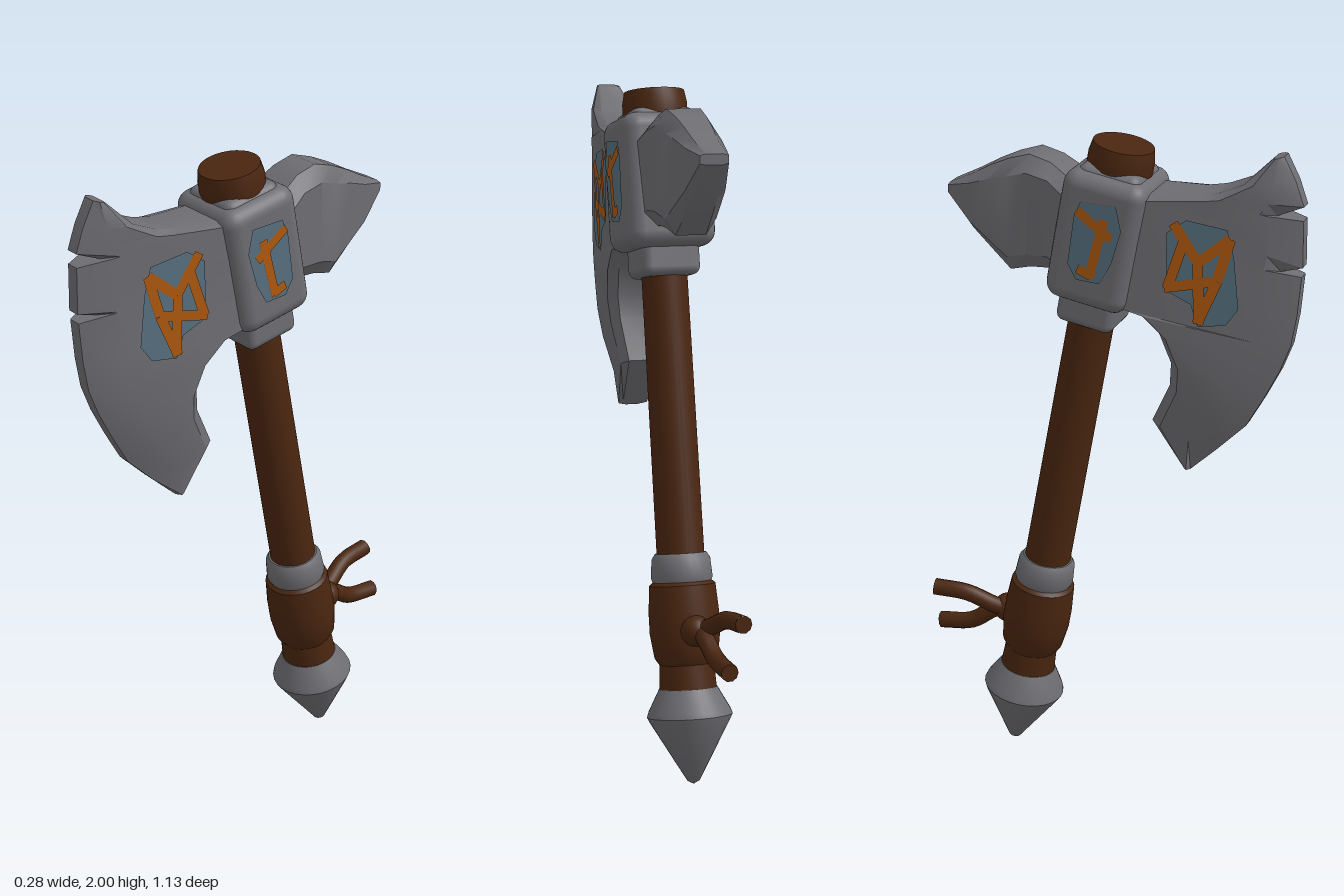
import * as THREE from 'three';
import { toCreasedNormals } from 'three/addons/utils/BufferGeometryUtils.js';
import { RoundedBoxGeometry } from 'three/addons/geometries/RoundedBoxGeometry.js';

const mat = (name, color, side = THREE.FrontSide) => {
  const m = new THREE.MeshStandardMaterial({ color, side });
  m.name = name;
  return m;
};

// Closed loft through rings of equal length, capped with fans.
function loft(rings, crease) {
  const n = rings[0].length, pos = rings.flat(2), idx = [];
  for (let i = 0; i < rings.length - 1; i++)
    for (let j = 0; j < n; j++) {
      const a = i * n + j, b = i * n + (j + 1) % n;
      idx.push(a, b, b + n, a, b + n, a + n);
    }
  const last = (rings.length - 1) * n;
  for (let j = 1; j < n - 1; j++) {
    idx.push(0, j + 1, j);
    idx.push(last, last + j, last + j + 1);
  }
  // turn the faces outwards if the enclosed volume is negative
  const v = (i) => new THREE.Vector3().fromArray(pos, i * 3);
  let volume = 0;
  for (let i = 0; i < idx.length; i += 3)
    volume += v(idx[i]).dot(v(idx[i + 1]).cross(v(idx[i + 2])));
  if (volume < 0) idx.reverse();
  const g = new THREE.BufferGeometry();
  g.setAttribute('position', new THREE.Float32BufferAttribute(pos, 3));
  g.setIndex(idx);
  return toCreasedNormals(g, crease);
}

// Half thickness of the blade cheek at depth z.
const cheek = (z) => 0.105 - 0.12 * (Math.max(z, 0.1) - 0.1);

function bladeGeometry() {
  // cutting edge z, y; back z, y; bevel width
  const stations = [
    [0.505, 1.997, 0.475, 1.99, 0.1], [0.54, 1.93, 0.4, 1.915, 0.1],
    [0.565, 1.86, 0.33, 1.885, 0.1], [0.49, 1.828, 0.31, 1.88, 0.04],
    [0.565, 1.82, 0.26, 1.87, 0.1], [0.567, 1.685, 0.1, 1.865, 0.1],
    [0.505, 1.668, 0.09, 1.8, 0.04], [0.565, 1.658, 0.08, 1.75, 0.1],
    [0.555, 1.54, 0.04, 1.53, 0.1], [0.54, 1.45, 0.1, 1.52, 0.1],
    [0.51, 1.37, 0.165, 1.46, 0.1], [0.465, 1.28, 0.2, 1.37, 0.1],
    [0.415, 1.19, 0.195, 1.3, 0.1], [0.33, 1.105, 0.14, 1.18, 0.1],
    [0.25, 1.03, 0.235, 1.045, 0.1],
  ];
  const thick = (p) => Math.max(0.025, Math.min(
    p.x < 0.46 ? cheek(p.x) : 0.062 - 0.32 * (p.x - 0.46),
    0.03 + (2 - p.y) * 0.6, 0.065 + (p.y - 1.2) * 0.12));
  return loft(stations.map(([fz, fy, bz, by, bevel]) => {
    const F = new THREE.Vector2(fz, fy), B = new THREE.Vector2(bz, by);
    const len = F.distanceTo(B);
    const M = F.clone().lerp(B, Math.min(bevel / len, 0.4));
    const I = B.clone().lerp(F, Math.min(0.03 / len, 0.25));
    const half = [[F, 0.02], [M, thick(M)], [I, thick(I)], [B, thick(B) * 0.7]];
    return [
      ...half.map(([p, t]) => [t, p.y, p.x]),
      ...half.reverse().map(([p, t]) => [-t, p.y, p.x]),
    ];
  }), 0.5);
}

function spikeGeometry() {
  // z, top, bottom, half width
  const sections = [
    [-0.04, 1.9, 1.55, 0.1], [-0.115, 1.89, 1.57, 0.1], [-0.165, 1.922, 1.61, 0.087],
    [-0.23, 1.94, 1.607, 0.085], [-0.295, 1.92, 1.59, 0.076], [-0.355, 1.893, 1.645, 0.068],
    [-0.415, 1.86, 1.7, 0.059], [-0.488, 1.825, 1.795, 0.042],
  ];
  const octagon = [[1, 0.72], [0.6, 1], [-0.6, 1], [-1, 0.72], [-1, -0.72], [-0.6, -1], [0.6, -1], [1, -0.72]];
  return loft(sections.map(([z, t, b, w]) =>
    octagon.map(([x, y]) => [x * w, (t + b) / 2 + y * (t - b) / 2, z])), 0.6);
}

// Flat painted shape in the side plane, laid over a surface x = surf(z).
function paint(points, surf, lift, side) {
  const g = new THREE.ShapeGeometry(new THREE.Shape(points.map(([z, y]) => new THREE.Vector2(z, y))));
  const p = g.attributes.position;
  for (let i = 0; i < p.count; i++) {
    const z = p.getX(i), y = p.getY(i);
    p.setXYZ(i, side * (surf(z) + lift), y, z);
  }
  // front faces point outwards on both sides
  if (side > 0) g.setIndex([...g.index.array].reverse());
  g.computeVertexNormals();
  return g;
}

// Quad outline of a brush stroke between two points.
function stroke([az, ay, bz, by], w) {
  const l = Math.hypot(bz - az, by - ay), dz = (bz - az) / l * w, dy = (by - ay) / l * w;
  return [[az - dy, ay + dz], [az + dy, ay - dz], [bz + dy, by - dz], [bz - dy, by + dz]];
}

export function createModel() {
  const steel = mat('steel', 0x6e6d72), leather = mat('brown wood and leather', 0x4a2610);
  const blue = mat('blue paint', 0x566f7e), orange = mat('orange paint', 0xae580e);
  const model = new THREE.Group();
  model.name = 'battleAxe';
  const add = (parent, name, geometry, material, x = 0, y = 0, z = 0) => {
    const m = new THREE.Mesh(geometry, material);
    m.name = name;
    m.position.set(x, y, z);
    parent.add(m);
    return m;
  };

  // Leaning shaft with everything that sits around it
  const shaft = new THREE.Group();
  shaft.name = 'shaft';
  shaft.position.z = -0.332;
  shaft.rotation.x = 0.183;
  model.add(shaft);
  const turned = (name, profile, material) => add(shaft, name, toCreasedNormals(
    new THREE.LatheGeometry(profile.map(([r, y]) => new THREE.Vector2(r, y)), 28), 0.6), material);
  turned('pommel', [[0, 0], [0.018, 0.01], [0.118, 0.185], [0.125, 0.2], [0.12, 0.215], [0.085, 0.28], [0, 0.28]], steel);
  turned('gripWrap', [[0, 0.27], [0.084, 0.27], [0.08, 0.35], [0.093, 0.37], [0.103, 0.44],
    [0.103, 0.5], [0.097, 0.58], [0.085, 0.59], [0, 0.59]], leather);
  turned('gripBand', [[0, 0.585], [0.084, 0.585], [0.09, 0.6], [0.086, 0.655], [0.075, 0.672], [0, 0.672]], steel);
  turned('handle', [[0, 0.6], [0.07, 0.6], [0.067, 1.55], [0, 1.55]], leather);
  turned('handleTop', [[0, 1.85], [0.088, 1.85], [0.095, 1.94], [0.095, 1.98], [0.088, 2.016], [0, 2.018]], leather);
  add(shaft, 'collar', new RoundedBoxGeometry(0.265, 0.39, 0.25, 3, 0.045), steel, 0, 1.75, 0.0);
  add(shaft, 'upperCollar', new RoundedBoxGeometry(0.2, 0.1, 0.19, 3, 0.03), steel, 0, 1.91, 0);
  add(shaft, 'lowerCollar', new RoundedBoxGeometry(0.175, 0.14, 0.175, 3, 0.025), steel, 0, 1.545, 0);

  // Axe head
  add(model, 'blade', bladeGeometry(), steel);
  add(model, 'backSpike', spikeGeometry(), steel);

  // Loose leather ends tied behind the grip
  const tie = (pts) => new THREE.TubeGeometry(
    new THREE.CatmullRomCurve3(pts.map((p) => new THREE.Vector3(...p))), 16, 0.026, 10);
  const ends = [
    [[0, 0.45, -0.3], [-0.025, 0.475, -0.38], [-0.05, 0.515, -0.46], [-0.065, 0.525, -0.562]],
    [[0, 0.47, -0.3], [-0.01, 0.455, -0.38], [-0.02, 0.405, -0.46], [-0.025, 0.39, -0.562]],
  ];
  for (const pts of ends) {
    add(model, 'leatherEnd', tie(pts), leather);
    const cap = add(model, 'leatherEndCap', new THREE.CircleGeometry(0.026, 10), leather, ...pts[3]);
    cap.rotation.y = Math.PI;
  }
  add(model, 'knot', new THREE.SphereGeometry(0.045, 16, 12), leather, 0, 0.46, -0.345);

  // Painted runes on both sides of the head
  const runes = [
    {
      name: 'blade', surf: cheek, width: 0.015,
      patch: [[0.365, 1.79], [0.25, 1.81], [0.195, 1.77], [0.195, 1.6], [0.265, 1.565],
        [0.285, 1.5], [0.365, 1.51], [0.4, 1.56], [0.385, 1.71]],
      strokes: [[0.375, 1.765, 0.285, 1.69], [0.215, 1.8, 0.285, 1.69], [0.375, 1.765, 0.34, 1.64],
        [0.34, 1.64, 0.19, 1.61], [0.34, 1.64, 0.285, 1.51], [0.245, 1.75, 0.2, 1.61], [0.285, 1.69, 0.29, 1.51]],
    },
    {
      name: 'collar', surf: () => 0.1325, width: 0.014,
      patch: [[0.06, 1.84], [-0.045, 1.845], [-0.065, 1.8], [-0.085, 1.66], [-0.06, 1.615],
        [0.01, 1.61], [0.045, 1.67], [0.075, 1.77]],
      strokes: [[0.045, 1.745, -0.055, 1.82], [0.025, 1.8, -0.02, 1.625], [-0.015, 1.632, -0.055, 1.65]],
    },
  ];
  for (const side of [1, -1])
    for (const r of runes) {
      add(model, r.name + 'PaintPatch', paint(r.patch, r.surf, 0.004, side), blue);
      r.strokes.forEach((s, i) => add(model, r.name + 'RuneStroke',
        paint(stroke(s, r.width), r.surf, 0.007 + i * 0.0003, side), orange));
    }
  return model;
}
